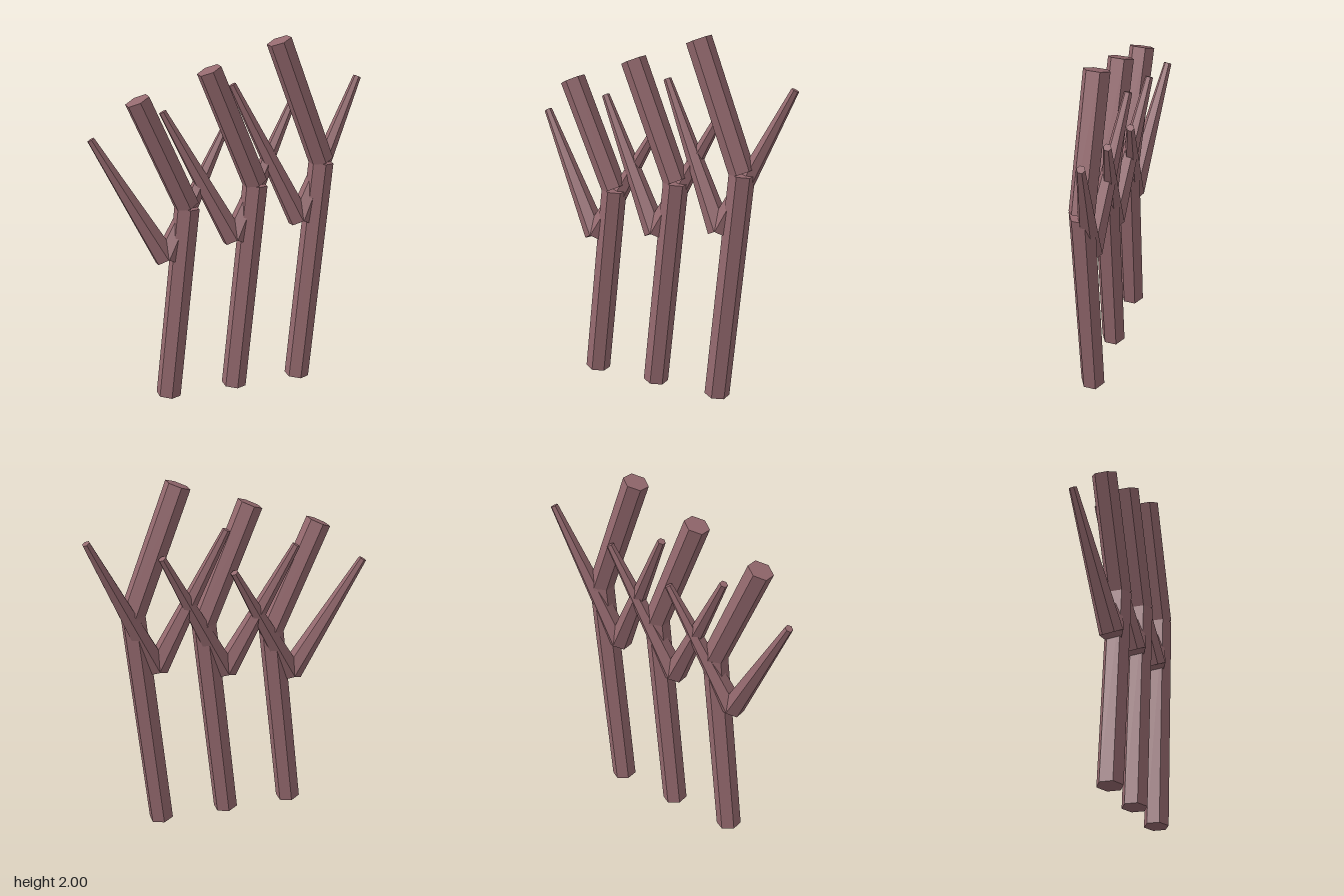
import * as THREE from 'three';

const bark = new THREE.MeshStandardMaterial({ color: 0x94696e, flatShading: true });
bark.name = 'mauve bark';
const UP = new THREE.Vector3(0, 1, 0);

// Six-sided limb running from one point to another, tapering if asked
function limb(name, from, to, r0, r1 = r0) {
  const a = new THREE.Vector3(...from), b = new THREE.Vector3(...to);
  const dir = b.clone().sub(a);
  const mesh = new THREE.Mesh(new THREE.CylinderGeometry(r1, r0, dir.length(), 6), bark);
  mesh.position.copy(a).add(b).multiplyScalar(0.5);
  mesh.quaternion.setFromUnitVectors(UP, dir.normalize());
  mesh.name = name;
  return mesh;
}

// One bent stem with a V of thin twigs behind it
function stem(x, bend, top, fork, tip) {
  const g = new THREE.Group();
  const z = 0.02, r = 0.07;
  g.add(limb('trunk', [x, 0.007, z], [x + 0.124, bend, z], r));
  g.add(limb('upperTrunk', [x + 0.124, bend + 0.008, z], [x - 0.137, top, z], r));
  for (const [side, s] of [['left', 1], ['right', -1]]) {
    g.add(limb(side + 'Twig', [x, fork, z], [x + s * 0.37, tip, -0.069], 0.066, 0.022));
  }
  return g;
}

export function createModel() {
  const model = new THREE.Group();
  model.name = 'branchingStems';
  // x, bend height, top height, fork height, twig tip height
  const stems = [
    [-0.392, 1.105, 1.71, 0.828, 1.5],
    [0, 1.197, 1.845, 0.897, 1.62],
    [0.392, 1.29, 1.979, 0.967, 1.742],
  ];
  stems.forEach((s, i) => {
    const g = stem(...s);
    g.name = ['rightStem', 'middleStem', 'leftStem'][i];
    model.add(g);
  });
  return model;
}
